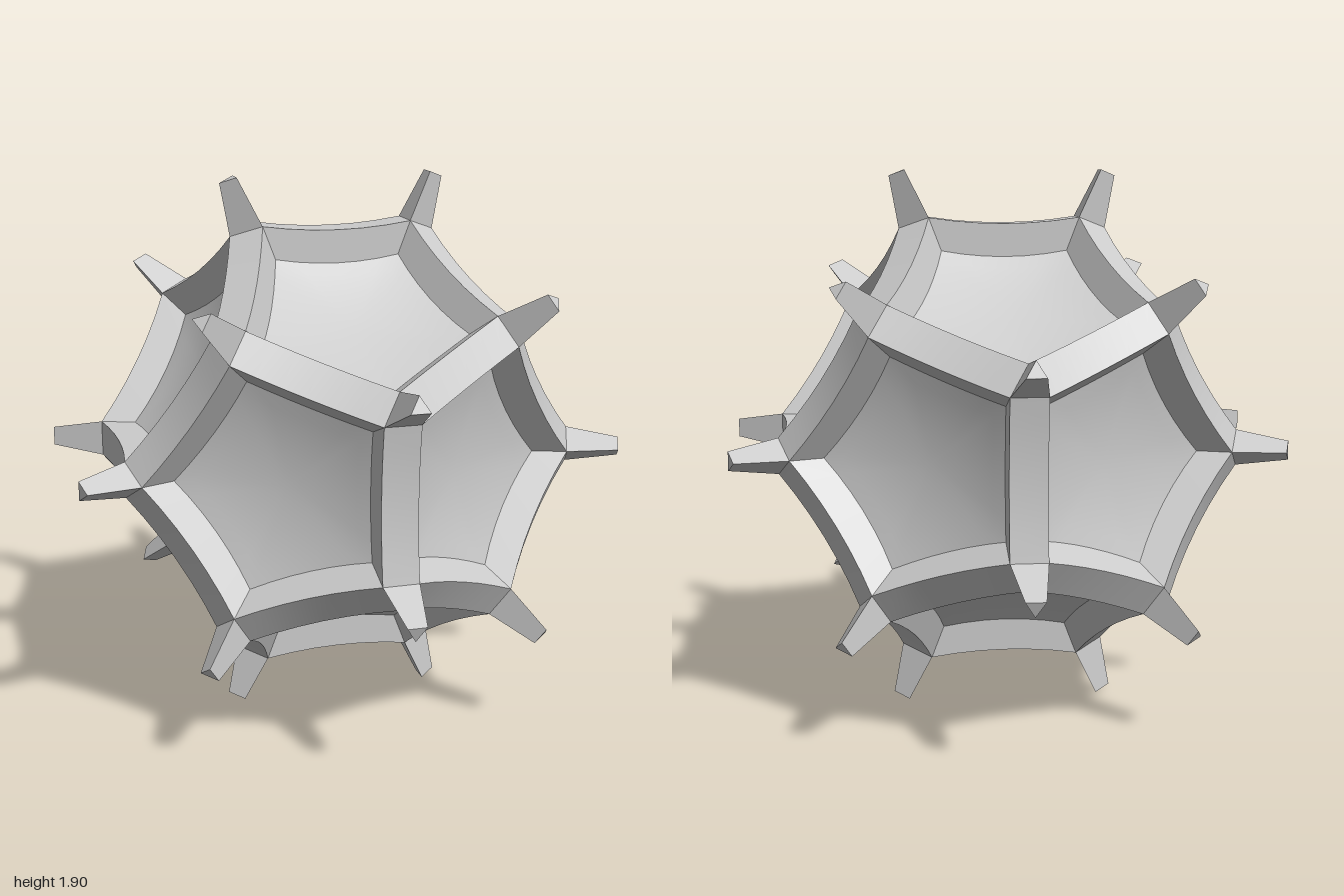
import * as THREE from 'three';
import { mergeGeometries, mergeVertices } from 'three/addons/utils/BufferGeometryUtils.js';

const V = (x, y, z) => new THREE.Vector3(x, y, z);
const CENTRE_Y = 0.954;
const BASE = 0.828, BASE_R = 0.0716;  // radial height and size of the triangle under each spike
const TIP = 1.009, TIP_R = 0.038;     // same for the spike tip
const FLOOR = 0.706;                  // radial height of the dish rims
const SAG = 0.021;                    // inward bow of the ridges
const DISH = 0.553;                   // distance of the dish centres from the middle
const STEPS = 6;

// Directions of the dodecahedron's corners and faces, with one face towards +z
const corners = [], faces = [V(0, 0, 1), V(0, 0, -1)];
for (let k = 0; k < 5; k++) {
  const a = Math.PI + (k * Math.PI * 2) / 5, c = Math.cos(a), s = Math.sin(a);
  for (const [r, z] of [[0.60706, 0.79465], [0.98225, 0.18759]]) {
    const p = V(r * c, r * s, z);
    corners.push(p, p.clone().negate());
  }
  const f = V(-0.89443 * c, -0.89443 * s, 0.44721);
  faces.push(f, f.clone().negate());
}

// Sorts directions counter-clockwise around the axis n
function around(n, list) {
  const u = list[0].clone().addScaledVector(n, -list[0].dot(n)).normalize();
  const w = n.clone().cross(u);
  const angle = (p) => Math.atan2(p.dot(w), p.dot(u));
  return list.slice().sort((a, b) => angle(a) - angle(b));
}

// Point over corner v at radial height h, shifted by r towards face f
function cornerPoint(v, f, h, r) {
  const t = f.clone().addScaledVector(v, -f.dot(v)).normalize();
  return v.clone().multiplyScalar(h).addScaledVector(t, r);
}

// Bowed line from corner a to corner b on the side of face f
function bowedLine(a, b, f, h) {
  const p = cornerPoint(a, f, h, BASE_R), q = cornerPoint(b, f, h, BASE_R);
  const e = a.clone().add(b).normalize();
  return Array.from({ length: STEPS + 1 }, (_, i) => {
    const t = i / STEPS;
    return p.clone().lerp(q, t).addScaledVector(e, -SAG * (1 - (2 * t - 1) ** 2));
  });
}

// Smooth surface through rows of points; it faces (row direction x column direction)
function grid(rows) {
  const n = rows[0].length, index = [];
  for (let i = 0; i < rows.length - 1; i++) {
    for (let j = 0; j < n - 1; j++) {
      const a = i * n + j, b = a + 1, d = a + n, c = d + 1;
      index.push(a, d, c, a, c, b);
    }
  }
  let g = new THREE.BufferGeometry().setFromPoints(rows.flat());
  g.setIndex(index);
  g = mergeVertices(g, 1e-5);
  g.computeVertexNormals();
  return g;
}

// Concave pentagonal dish
function dish(f) {
  const ring = around(f, corners.filter((v) => v.dot(f) > 0.75));
  const rim = [];
  ring.forEach((v, i) => rim.push(...bowedLine(v, ring[(i + 1) % 5], f, FLOOR).slice(0, STEPS)));
  rim.push(rim[0].clone());
  const rows = [];
  for (let i = 0; i <= 6; i++) {
    const s = i / 6;
    rows.push(rim.map((q) => {
      const z = q.dot(f);
      return q.clone().addScaledVector(f, -z).multiplyScalar(s)
        .addScaledVector(f, DISH + (z - DISH) * s * s);
    }));
  }
  return grid(rows);
}

// Raised ridge along an edge: two walls and a flat top
function ridge(a, b) {
  const e = a.clone().add(b).normalize();
  const side = b.clone().sub(a).cross(e);
  const [fa, fb] = faces.filter((f) => f.dot(e) > 0.8)
    .sort((p, q) => q.dot(side) - p.dot(side));
  const lines = [bowedLine(a, b, fa, FLOOR), bowedLine(a, b, fa, BASE),
    bowedLine(a, b, fb, BASE), bowedLine(a, b, fb, FLOOR)];
  return [0, 1, 2].map((k) => grid(lines[k].map((p, i) => [p, lines[k + 1][i]])));
}

// Tapered three-sided spike
function spike(v) {
  const ring = around(v, faces.filter((f) => f.dot(v) > 0.75));
  const low = ring.map((f) => cornerPoint(v, f, BASE, BASE_R));
  const top = ring.map((f) => cornerPoint(v, f, TIP, TIP_R));
  const parts = [0, 1, 2].map((i) => {
    const j = (i + 1) % 3;
    return grid([[low[j], low[i]], [top[j], top[i]]]);
  });
  parts.push(grid([[top[0], top[0]], [top[1], top[2]]]));
  return parts;
}

export function createModel() {
  const group = new THREE.Group();
  group.name = 'spikedDodecahedron';
  const material = new THREE.MeshStandardMaterial({ color: 0xcccccc });
  const add = (name, parts) => {
    const mesh = new THREE.Mesh(mergeGeometries(parts), material);
    mesh.name = name;
    mesh.position.y = CENTRE_Y;
    group.add(mesh);
  };

  const ridges = [];
  corners.forEach((a, i) => corners.slice(i + 1).forEach((b) => {
    if (a.distanceTo(b) < 0.8) ridges.push(...ridge(a, b));
  }));
  add('dishes', faces.map(dish));
  add('ridges', ridges);
  add('spikes', corners.flatMap(spike));
  return group;
}
